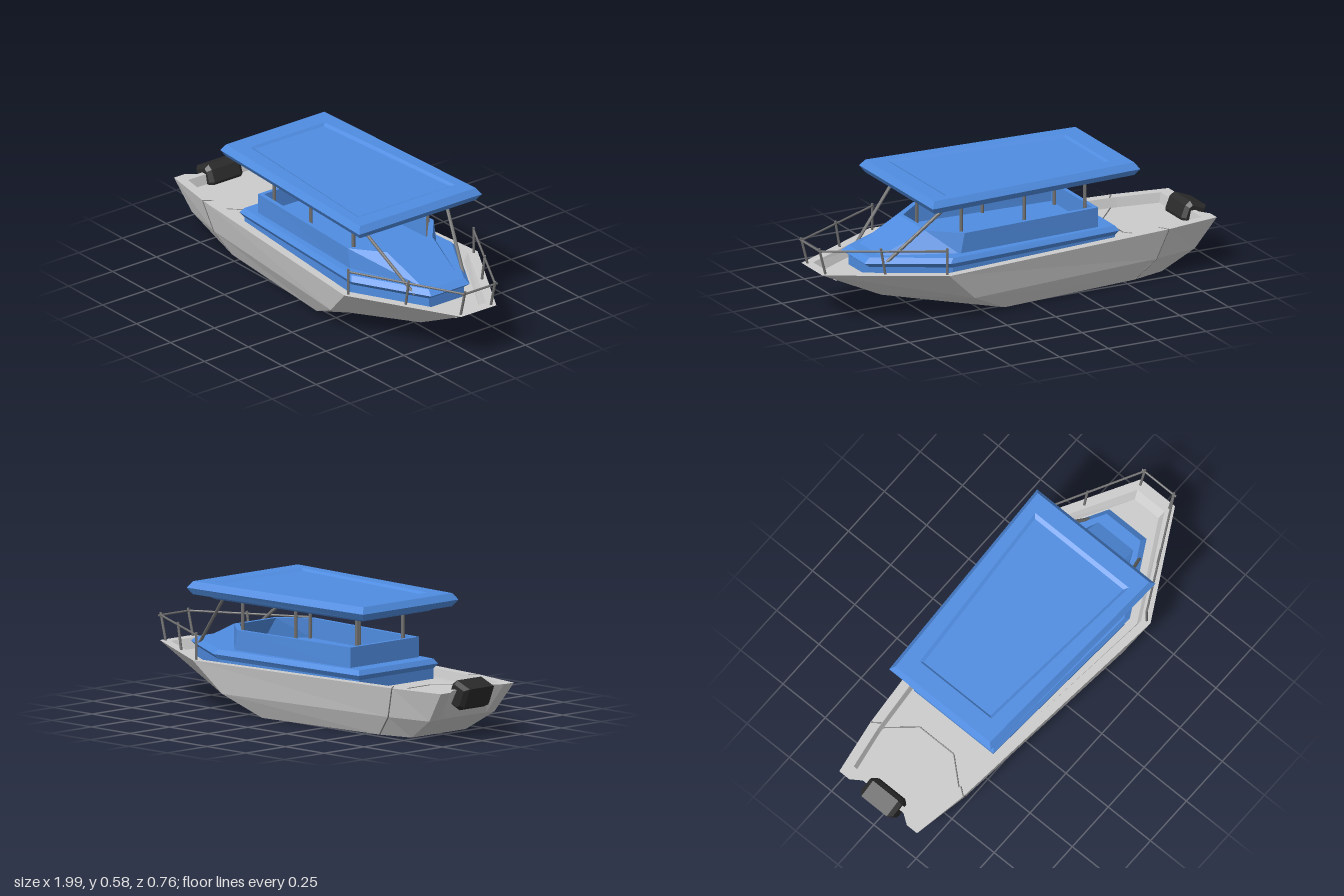
import * as THREE from 'three';

const paint = (color) => new THREE.MeshStandardMaterial({ color, flatShading: true });

// Level outline: half points [x, z] from bow to stern, mirrored to a closed ring
function ring(y, half) {
  const left = half.map(([x, z]) => [x, y, z]);
  return [...left, ...left.map(([x, h, z]) => [x, h, -z]).reverse()];
}

// Faceted skin through rings of equal point count, closed at both ends
function loft(rings) {
  const pos = [];
  const tri = (...pts) => pts.forEach((p) => pos.push(...p));
  const n = rings[0].length;
  const centre = (r) => [0, 1, 2].map((k) => r.reduce((s, p) => s + p[k], 0) / n);
  const first = rings[0], last = rings[rings.length - 1];
  const c0 = centre(first), c1 = centre(last);
  for (let i = 0; i < n; i++) {
    const j = (i + 1) % n;
    tri(c0, first[i], first[j]);
    tri(c1, last[j], last[i]);
    for (let k = 0; k + 1 < rings.length; k++) {
      const a = rings[k], b = rings[k + 1];
      tri(a[i], b[i], b[j]);
      tri(a[i], b[j], a[j]);
    }
  }
  const g = new THREE.BufferGeometry();
  g.setAttribute('position', new THREE.Float32BufferAttribute(pos, 3));
  g.computeVertexNormals();
  return g;
}

export function createModel() {
  const model = new THREE.Group();
  const grey = paint(0xcccccc);
  const seamGrey = paint(0x777777);
  const metal = paint(0x707070);
  const blue = paint(0x4f8ce0);
  const black = paint(0x2a2a2a);

  const add = (name, geometry, material, parent = model) => {
    const mesh = new THREE.Mesh(geometry, material);
    mesh.name = name;
    parent.add(mesh);
    return mesh;
  };

  // Round bar between two points
  const bar = (name, from, to, radius, material, parent) => {
    const a = new THREE.Vector3(...from), b = new THREE.Vector3(...to);
    const dir = b.clone().sub(a);
    const mesh = add(name, new THREE.CylinderGeometry(radius, radius, dir.length(), 8), material, parent);
    mesh.position.copy(a).add(b).multiplyScalar(0.5);
    mesh.quaternion.setFromUnitVectors(new THREE.Vector3(0, 1, 0), dir.normalize());
  };

  // Hull: bottom, chine, gunwale, inner rim and sunken deck, with a stern notch
  add('hull', loft([
    ring(0, [[0.32, 0.095], [0.14, 0.275], [-0.56, 0.215], [-0.72, 0.17], [-0.72, 0.13], [-0.72, 0.1]]),
    ring(0.095, [[0.68, 0.1], [0.33, 0.342], [-0.65, 0.25], [-0.87, 0.205], [-0.87, 0.15], [-0.86, 0.11]]),
    ring(0.235, [[0.98, 0.1], [0.48, 0.38], [-0.7, 0.275], [-0.97, 0.23], [-0.97, 0.17], [-0.935, 0.12]]),
    ring(0.235, [[0.93, 0.08], [0.46, 0.34], [-0.7, 0.23], [-0.91, 0.195], [-0.91, 0.16], [-0.91, 0.12]]),
    ring(0.19, [[0.9, 0.07], [0.45, 0.325], [-0.7, 0.22], [-0.9, 0.185], [-0.9, 0.15], [-0.9, 0.11]]),
  ]), grey);

  // Panel seam around the hull side and over the deck
  const seams = new THREE.Group();
  seams.name = 'hullSeams';
  model.add(seams);
  for (const s of [1, -1]) {
    const path = [[-0.56, 0, 0.215], [-0.65, 0.095, 0.25], [-0.7, 0.235, 0.275], [-0.67, 0.235, 0.235]];
    for (let i = 0; i < 3; i++) {
      const [a, b] = [path[i], path[i + 1]].map(([x, y, z]) => [x, Math.max(y, 0.003), z * s]);
      bar('sideSeam', a, b, 0.003, seamGrey, seams);
    }
    bar('deckSeam', [-0.67, 0.19, 0.225 * s], [-0.56, 0.19, 0.1 * s], 0.003, seamGrey, seams);
  }
  bar('deckSeam', [-0.56, 0.19, -0.1], [-0.56, 0.19, 0.1], 0.003, seamGrey, seams);

  // Cabin base with bevelled edge
  const baseEdge = [[0.74, 0.1], [0.41, 0.285], [-0.445, 0.235]];
  add('cabinBase', loft([
    ring(0.185, baseEdge),
    ring(0.237, baseEdge),
    ring(0.26, [[0.77, 0.11], [0.43, 0.3], [-0.46, 0.25]]),
    ring(0.282, baseEdge),
  ]), blue);

  // Open-topped cabin walls with a raked front
  add('cabinWalls', loft([
    ring(0.275, [[0.7, 0.1], [0.35, 0.245], [-0.37, 0.215]]),
    ring(0.375, [[0.47, 0.13], [0.33, 0.245], [-0.37, 0.215]]),
    ring(0.375, [[0.45, 0.115], [0.32, 0.225], [-0.35, 0.195]]),
    ring(0.285, [[0.5, 0.1], [0.33, 0.225], [-0.35, 0.195]]),
  ]), blue);

  // Roof: hollow underside, bevelled rim, shallow tray on top
  const roofRing = (y, front, zFront, back, zBack) => ring(y, [[front, zFront], [back, zBack]]);
  add('roof', loft([
    roofRing(0.54, 0.41, 0.225, -0.39, 0.18),
    roofRing(0.502, 0.44, 0.24, -0.42, 0.195),
    roofRing(0.502, 0.46, 0.255, -0.44, 0.21),
    roofRing(0.525, 0.5, 0.295, -0.48, 0.245),
    roofRing(0.525, 0.53, 0.33, -0.52, 0.28),
    roofRing(0.555, 0.55, 0.35, -0.54, 0.3),
    roofRing(0.585, 0.53, 0.33, -0.52, 0.28),
    roofRing(0.585, 0.45, 0.277, -0.43, 0.212),
    roofRing(0.575, 0.43, 0.262, -0.42, 0.197),
  ]), blue);

  // Roof posts, front struts and bow rails on both sides
  const supports = new THREE.Group();
  supports.name = 'roofSupports';
  const rails = new THREE.Group();
  rails.name = 'bowRails';
  model.add(supports, rails);
  for (const s of [1, -1]) {
    for (const [x, z] of [[-0.34, 0.145], [0, 0.2], [0.33, 0.212]]) {
      bar('roofPost', [x, 0.28, z * s], [x, 0.54, z * s], 0.008, metal, supports);
    }
    bar('frontStrut', [0.42, 0.515, 0.24 * s], [0.69, 0.25, 0.142 * s], 0.008, metal, supports);

    const feet = [[0.48, 0.357], [0.72, 0.217], [0.955, 0.086]];
    const tops = [[0.48, 0.357], [0.744, 0.217], [0.99, 0.086]];
    feet.forEach(([x, z], i) => {
      const [tx, tz] = tops[i];
      bar('railPost', [x, 0.225, z * s], [tx, 0.36, tz * s], 0.006, metal, rails);
      if (i < 2) {
        const [nx, nz] = tops[i + 1];
        bar('sideRail', [tx, 0.347, tz * s], [nx, 0.347, nz * s], 0.005, metal, rails);
      }
    });
  }
  bar('frontRail', [0.987, 0.347, -0.1], [0.987, 0.347, 0.1], 0.005, metal, rails);

  // Tilted outboard motor with chamfered casing
  const casing = new THREE.Shape([
    [-0.035, 0.045], [0.03, 0.045], [0.04, 0.03], [0.04, -0.02], [0.025, -0.045], [-0.02, -0.045], [-0.035, -0.03],
  ].map(([x, y]) => new THREE.Vector2(x, y)));
  const motorGeometry = new THREE.ExtrudeGeometry(casing, {
    depth: 0.15, bevelEnabled: true, bevelSegments: 1, bevelSize: 0.015, bevelThickness: 0.02,
  });
  motorGeometry.translate(0, 0, -0.075);
  const motor = add('outboardMotor', motorGeometry, black);
  motor.rotation.z = 0.38;
  motor.position.set(-0.93, 0.205, 0);

  return model;
}
